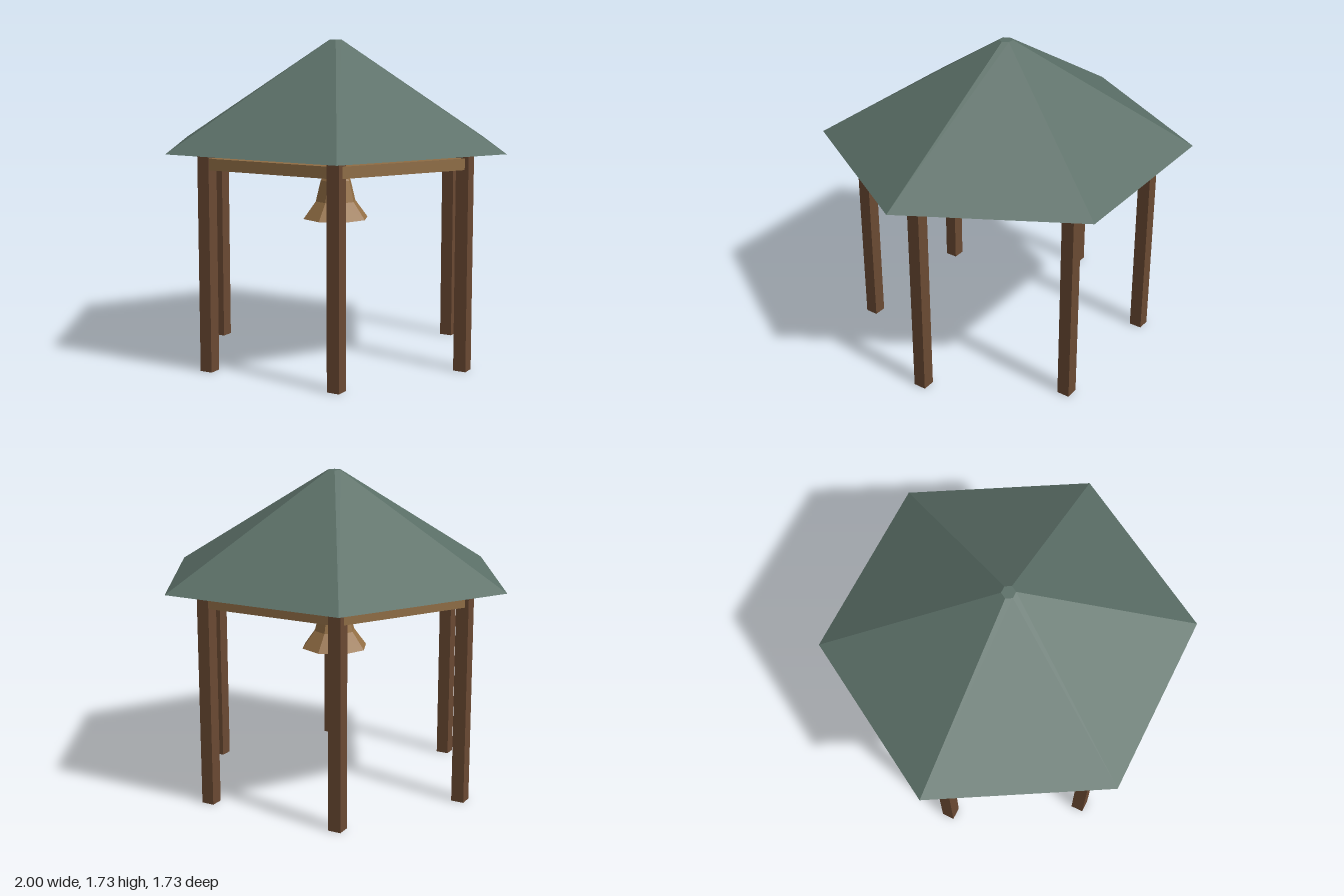
import * as THREE from 'three';

const material = (name, color, extra = {}) => {
  const m = new THREE.MeshStandardMaterial({ color, flatShading: true, ...extra });
  m.name = name;
  return m;
};

export function createModel() {
  const model = new THREE.Group();
  model.name = 'bellPavilion';

  const roofGreen = material('roof green', 0x5b6f67);
  const darkWood = material('dark wood', 0x6b4a33);
  const lightWood = material('light wood', 0x8f6d45);
  const bronze = material('bronze', 0x967146);

  const add = (name, geometry, mat, x = 0, y = 0, z = 0) => {
    const mesh = new THREE.Mesh(geometry, mat);
    mesh.name = name;
    mesh.position.set(x, y, z);
    model.add(mesh);
    return mesh;
  };

  // Six-sided roof with corners on the x axis and a small flat top
  const roof = new THREE.CylinderGeometry(0.037, 1, 0.57, 6);
  roof.rotateY(Math.PI / 6);
  add('roof', roof, roofGreen, 0, 1.445, 0);

  // Six posts, each joined to the next by a rail
  const R = 0.77;
  const postGeometry = new THREE.BoxGeometry(0.07, 1.16, 0.07);
  const railGeometry = new THREE.BoxGeometry(R, 0.06, 0.06);
  for (let i = 0; i < 6; i++) {
    const a = (i * Math.PI) / 3;
    add('post', postGeometry, darkWood, R * Math.cos(a), 0.58, R * Math.sin(a));
    const m = a + Math.PI / 6;
    const apothem = R * Math.cos(Math.PI / 6);
    const rail = add('rail', railGeometry, lightWood, apothem * Math.cos(m), 1.1, apothem * Math.sin(m));
    rail.rotation.y = Math.PI / 2 - m;
  }

  // Beam under the roof that carries the bell
  const beam = new THREE.CylinderGeometry(0.035, 0.035, 1, 6);
  beam.rotateY(Math.PI / 6);
  beam.rotateZ(Math.PI / 2);
  beam.rotateX(Math.PI / 6);
  add('bellBeam', beam, darkWood, 0, 1.16, 0);

  // Hanger rod
  add('hangerRod', new THREE.CylinderGeometry(0.014, 0.014, 0.14, 8), roofGreen, 0, 1.08, 0);

  // Eight-sided flared bell, closed above and below
  const profile = [[0, 0.755], [0.183, 0.755], [0.113, 0.85], [0.085, 0.965], [0.05, 1.02], [0, 1.02]]
    .map(([r, y]) => new THREE.Vector2(r, y));
  add('bell', new THREE.LatheGeometry(profile, 8), bronze);

  return model;
}
